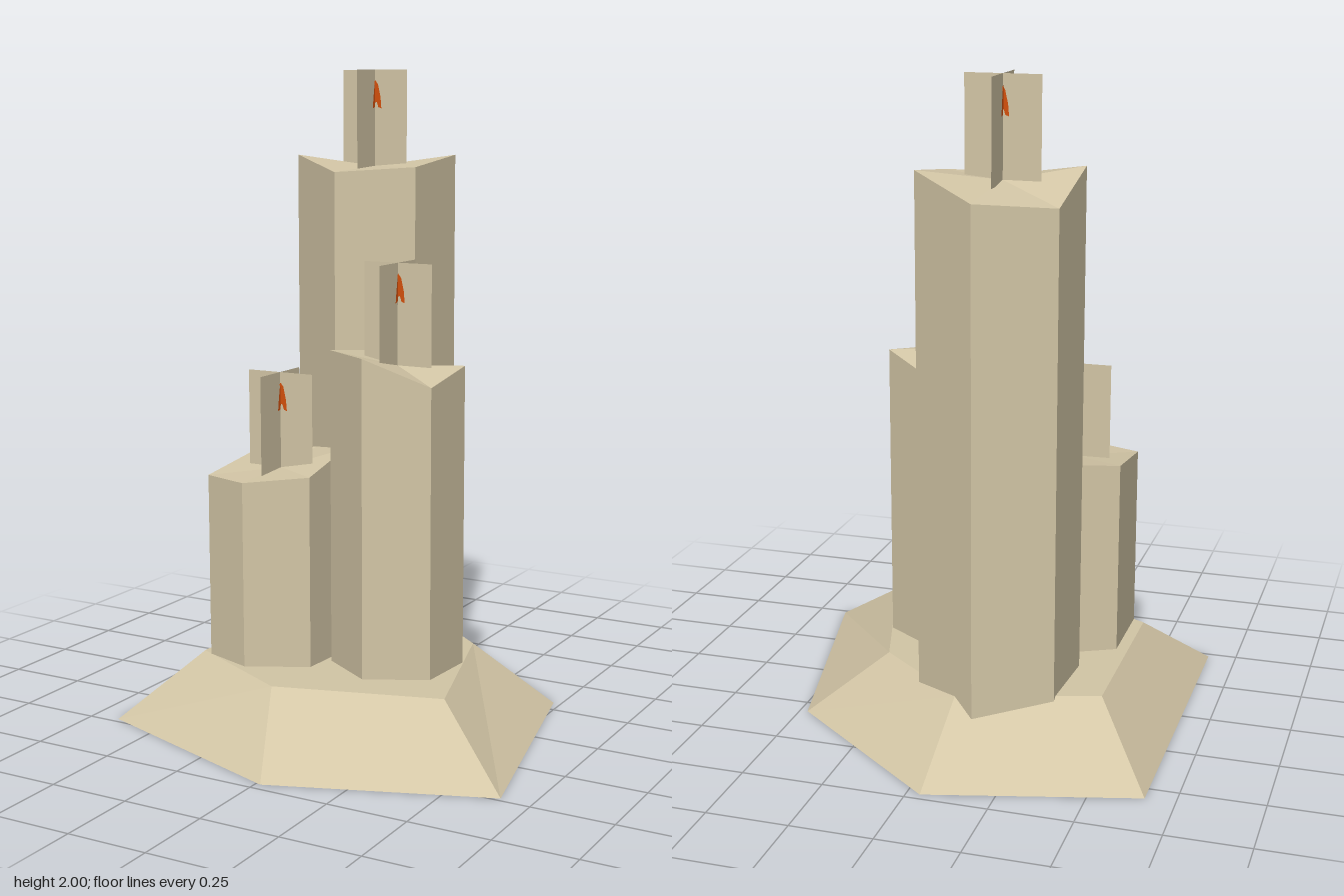
import * as THREE from 'three';

const wax = new THREE.MeshStandardMaterial({ color: 0xd3c6a6, side: THREE.DoubleSide });
wax.name = 'wax tan';
const fire = new THREE.MeshStandardMaterial({ color: 0xd4500c, side: THREE.DoubleSide });
fire.name = 'flame orange';

// Faceted solid between two rings of [x, y, z]; both ends are fans around a centre point
function facetedSolid(name, bottom, top, topCentre) {
  const pos = [];
  const tri = (...pts) => pts.forEach((p) => pos.push(...p));
  const n = bottom.length;
  const mean = (i) => bottom.reduce((s, p) => s + p[i], 0) / n;
  const bottomCentre = [mean(0), mean(1), mean(2)];
  for (let i = 0; i < n; i++) {
    const j = (i + 1) % n;
    tri(bottom[j], bottom[i], top[i]);
    tri(bottom[j], top[i], top[j]);
    tri(topCentre, top[j], top[i]);
    tri(bottomCentre, bottom[i], bottom[j]);
  }
  const geo = new THREE.BufferGeometry();
  geo.setAttribute('position', new THREE.Float32BufferAttribute(pos, 3));
  geo.computeVertexNormals();
  const mesh = new THREE.Mesh(geo, wax);
  mesh.name = name;
  return mesh;
}

// Small painted flame outline, split at the foot
function flameGeometry() {
  const s = new THREE.Shape();
  s.moveTo(-0.022, 0);
  s.lineTo(-0.009, 0.004);
  s.lineTo(-0.005, 0.02);
  s.lineTo(0.006, 0.02);
  s.lineTo(0.011, 0.004);
  s.lineTo(0.022, 0);
  s.lineTo(0.019, 0.035);
  s.lineTo(0.01, 0.075);
  s.lineTo(0, 0.088);
  s.lineTo(-0.011, 0.07);
  s.lineTo(-0.017, 0.035);
  return new THREE.ShapeGeometry(s);
}

// Two crossed upright cards, each with a flame on both sides
function crossedCards(x, y, z) {
  const group = new THREE.Group();
  group.name = 'flameCards';
  const cardGeo = new THREE.PlaneGeometry(0.228, 0.31).translate(0, 0.155, 0);
  const flameGeo = flameGeometry();
  for (const turn of [0, Math.PI / 2]) {
    const pair = new THREE.Group();
    pair.name = 'card';
    const card = new THREE.Mesh(cardGeo, wax);
    card.name = 'cardPanel';
    pair.add(card);
    for (const side of [-1, 1]) {
      const flame = new THREE.Mesh(flameGeo, fire);
      flame.name = 'flame';
      flame.position.set(0.003, 0.19, side * 0.003);
      if (side < 0) flame.rotation.y = Math.PI;
      pair.add(flame);
    }
    pair.rotation.y = turn;
    group.add(pair);
  }
  group.position.set(x, y, z);
  return group;
}

// Candles: uneven hexagonal rims [x, y, z], rim centre and card foot
const candles = [
  {
    name: 'tallCandle',
    rim: [[-0.345, 1.65, -0.385], [-0.125, 1.67, -0.5], [0.085, 1.735, -0.36],
      [0.07, 1.705, -0.115], [-0.15, 1.69, 0], [-0.36, 1.735, -0.135]],
    centre: [-0.14, 1.7, -0.24], foot: 1.69,
  },
  {
    name: 'middleCandle',
    rim: [[-0.06, 1.14, -0.045], [0.12, 1.07, -0.135], [0.29, 1.12, -0.02],
      [0.278, 1.08, 0.18], [0.095, 1.165, 0.27], [-0.075, 1.165, 0.16]],
    centre: [0.108, 1.12, 0.07], foot: 1.12,
  },
  {
    name: 'shortCandle',
    rim: [[-0.442, 0.795, 0.022], [-0.26, 0.81, -0.07], [-0.09, 0.84, 0.042],
      [-0.1, 0.785, 0.245], [-0.282, 0.767, 0.337], [-0.442, 0.765, 0.28]],
    centre: [-0.268, 0.78, 0.135], foot: 0.77,
  },
];

export function createModel() {
  const model = new THREE.Group();
  model.name = 'candleCluster';

  // Melted wax mound
  const lower = [[-0.66, -0.56], [-0.04, -0.725], [0.475, -0.31],
    [0.655, 0.485], [0.015, 0.72], [-0.66, 0.48]];
  const upper = [[-0.478, -0.33], [-0.06, -0.455], [0.235, -0.21],
    [0.392, 0.31], [-0.11, 0.455], [-0.478, 0.26]];
  model.add(facetedSolid('waxBase', lower.map(([x, z]) => [x, 0, z]),
    upper.map(([x, z]) => [x, 0.19, z]), [-0.08, 0.19, 0]));

  for (const c of candles) {
    const group = new THREE.Group();
    group.name = c.name;
    group.add(facetedSolid('candleBody', c.rim.map(([x, , z]) => [x, 0.13, z]), c.rim, c.centre));
    group.add(crossedCards(c.centre[0], c.foot, c.centre[2]));
    model.add(group);
  }
  return model;
}
